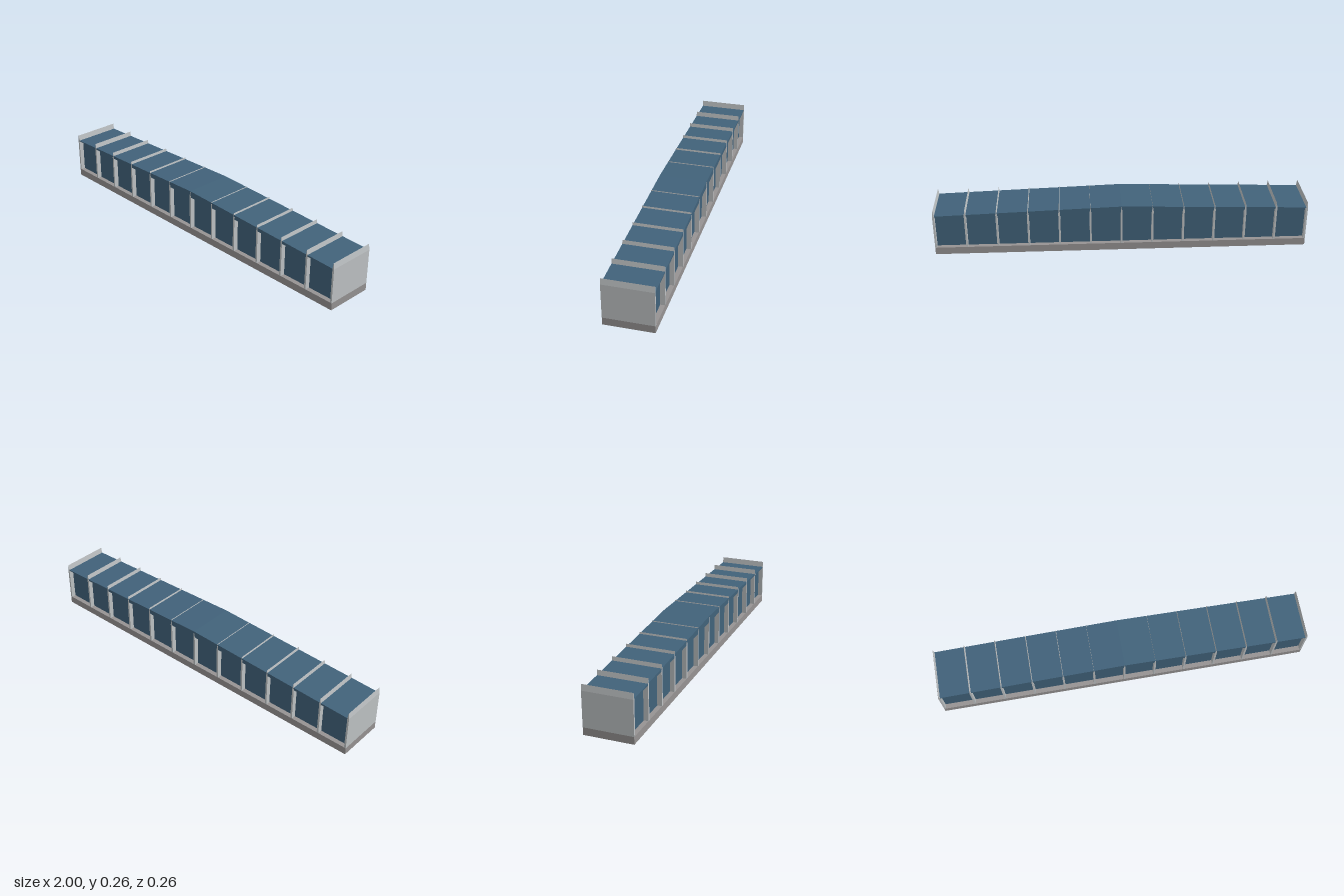
import * as THREE from 'three';

const mat = (name, color) => {
  const m = new THREE.MeshStandardMaterial({ color });
  m.name = name;
  return m;
};

// Extrude an outline drawn in x/y along z, centred on z = 0
function prism(points, depth) {
  const shape = new THREE.Shape(points.map(([x, y]) => new THREE.Vector2(x, y)));
  const g = new THREE.ExtrudeGeometry(shape, { depth, bevelEnabled: false });
  return g.translate(0, 0, -depth / 2);
}

export function createModel() {
  const group = new THREE.Group();
  const concrete = mat('concrete grey', 0x969393);
  const wallGrey = mat('light wall grey', 0xbec2c4);
  const blue = mat('steel blue', 0x41627a);

  const add = (name, geometry, material, x = 0, y = 0, z = 0) => {
    const mesh = new THREE.Mesh(geometry, material);
    mesh.name = name;
    mesh.position.set(x, y, z);
    group.add(mesh);
  };

  const DEPTH = 0.262, BAYS = 12, HALF = 0.995, STEP = (2 * HALF) / BAYS;

  // Foundation slab
  add('foundation', new THREE.BoxGeometry(2, 0.04, DEPTH), concrete, 0, 0.02, 0);

  // Shallow gable roof, flat underneath, overhanging the doors
  add('roof', prism([[-0.995, 0.226], [0.995, 0.226], [0.995, 0.23], [0, 0.263], [-0.995, 0.23]], DEPTH), blue);

  // Dividing walls with a pointed coping that rises through the roof
  const wall = prism([[-0.005, 0.04], [0.005, 0.04], [0.005, 0.23], [0, 0.262], [-0.005, 0.23]], DEPTH + 0.001);
  for (let i = 0; i <= BAYS; i++) add('dividingWall', wall, wallGrey, -HALF + i * STEP);

  // Recessed bay units, with a slim gap left below the roof
  const bay = new THREE.BoxGeometry(STEP - 0.01, 0.178, 0.212);
  for (let i = 0; i < BAYS; i++) add('bay', bay, blue, -HALF + (i + 0.5) * STEP, 0.129, 0);

  return group;
}
